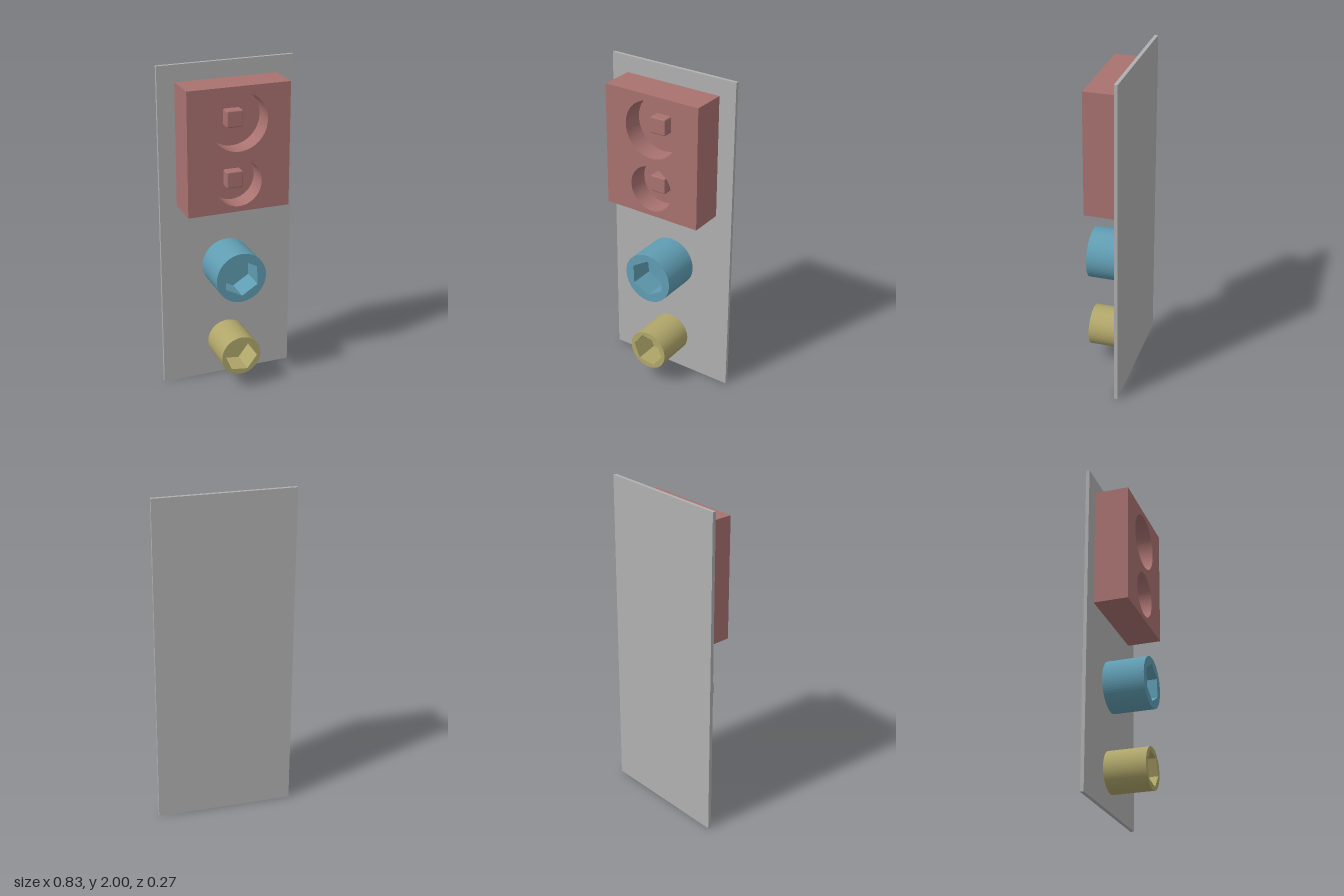
import * as THREE from 'three';
import { RoundedBoxGeometry } from 'three/addons/geometries/RoundedBoxGeometry.js';

const mat = (name, color) => new THREE.MeshStandardMaterial({ name, color });

const PLATE_FRONT = -0.115;

function addMesh(parent, name, geometry, material, x, y, z) {
  const mesh = new THREE.Mesh(geometry, material);
  mesh.name = name;
  mesh.position.set(x, y, z);
  parent.add(mesh);
  return mesh;
}

const extrude = (shape, depth) =>
  new THREE.ExtrudeGeometry(shape, { depth, bevelEnabled: false, curveSegments: 32 });

function circle(PathType, y, r) {
  const path = new PathType();
  path.absarc(0, y, r, 0, Math.PI * 2, false);
  return path;
}

// Regular hexagon with its first corner at the given angle in degrees
function hexagon(r, startDegrees) {
  const points = [];
  for (let i = 0; i < 6; i++) {
    const a = THREE.MathUtils.degToRad(startDegrees + i * 60);
    points.push(new THREE.Vector2(r * Math.cos(a), r * Math.sin(a)));
  }
  return new THREE.Path(points);
}

// Round post with a blind hexagonal socket in its front
function createSocket(name, material, y, radius, hexRadius, hexAngle) {
  const group = new THREE.Group();
  group.name = name;
  const length = 0.25, holeDepth = 0.15, baseLength = length - holeDepth;
  addMesh(group, name + 'Base', extrude(circle(THREE.Shape, 0, radius), baseLength), material, 0, 0, 0);
  const ring = circle(THREE.Shape, 0, radius);
  ring.holes.push(hexagon(hexRadius, hexAngle));
  addMesh(group, name + 'Rim', extrude(ring, holeDepth), material, 0, 0, baseLength);
  group.position.set(0, y, PLATE_FRONT);
  return group;
}

// Rectangular block with two round recesses, each holding a square peg
function createBlock(material) {
  const group = new THREE.Group();
  group.name = 'recessedBlock';
  const w = 0.62, h = 0.742, depth = 0.208, recess = 0.125, floor = depth - recess;
  const wells = [{ y: 0.164, r: 0.173 }, { y: -0.2, r: 0.139 }];

  addMesh(group, 'blockBase', new THREE.BoxGeometry(w, h, floor), material, 0, 0, floor / 2);

  const face = new THREE.Shape([
    new THREE.Vector2(-w / 2, -h / 2), new THREE.Vector2(w / 2, -h / 2),
    new THREE.Vector2(w / 2, h / 2), new THREE.Vector2(-w / 2, h / 2),
  ]);
  for (const { y, r } of wells) face.holes.push(circle(THREE.Path, y, r));
  addMesh(group, 'blockFront', extrude(face, recess), material, 0, 0, floor);

  // Pegs reach halfway up the recess, with their rounded backs sunk in the floor
  const pegDepth = 0.072;
  for (const { y } of wells) {
    addMesh(group, 'squarePeg', new RoundedBoxGeometry(0.1, 0.1, pegDepth, 2, 0.008),
      material, 0, y, floor + 0.062 - pegDepth / 2);
  }
  group.position.set(0, 1.529, PLATE_FRONT);
  return group;
}

export function createModel() {
  const grey = mat('plateGrey', 0xb0b0b0);
  const red = mat('dustyRed', 0xa87270);
  const blue = mat('softBlue', 0x609db2);
  const yellow = mat('oliveYellow', 0xb0a66a);

  const model = new THREE.Group();
  model.name = 'mountingPanel';

  addMesh(model, 'backPlate', new THREE.BoxGeometry(0.828, 2, 0.021), grey, 0, 1, PLATE_FRONT - 0.0105);
  model.add(createBlock(red));
  model.add(createSocket('largeSocket', blue, 0.75, 0.155, 0.115, 32));
  model.add(createSocket('smallSocket', yellow, 0.23, 0.124, 0.103, 52.5));
  return model;
}
